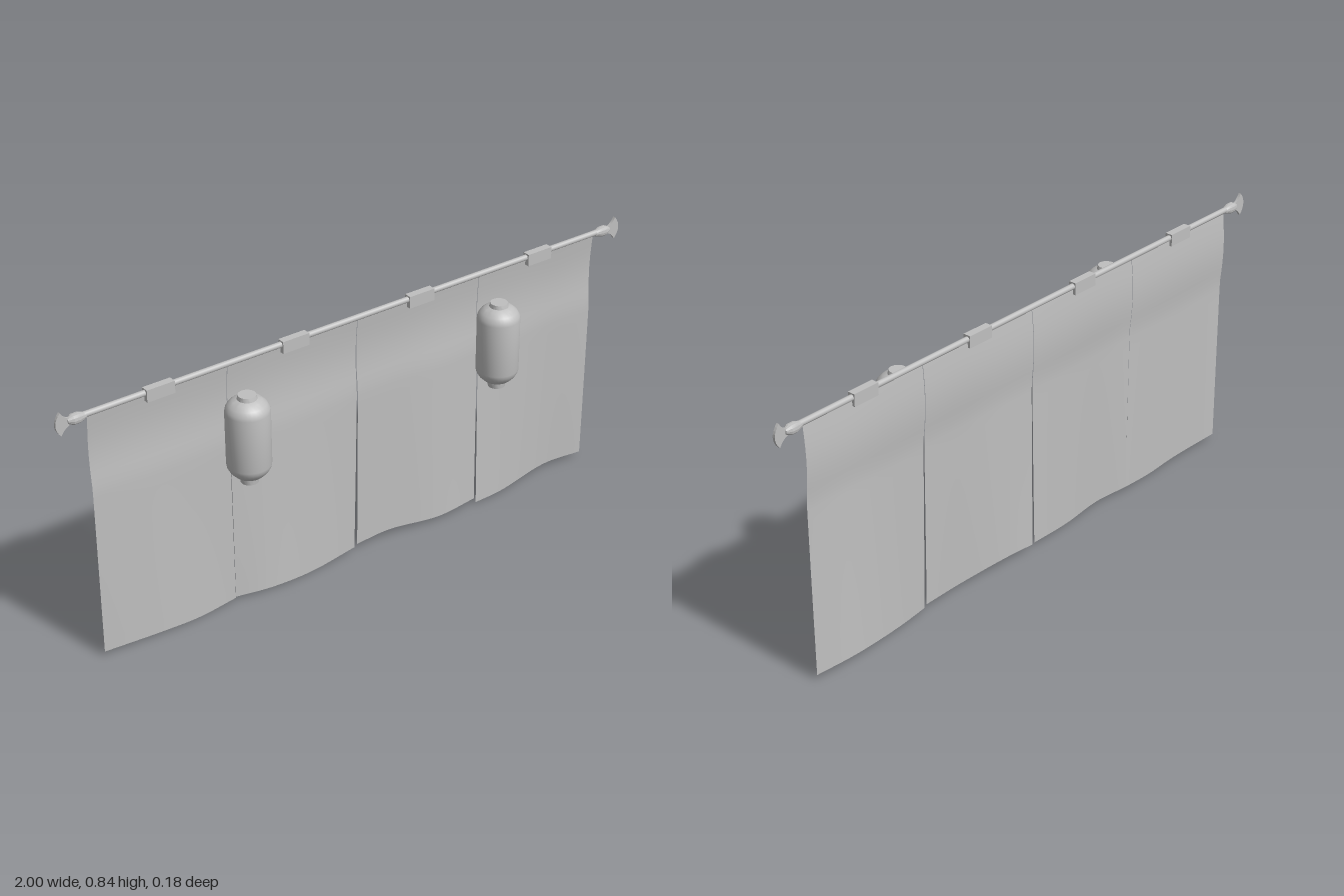
import * as THREE from 'three';
import { toCreasedNormals } from 'three/addons/utils/BufferGeometryUtils.js';

const ROD_Y = 0.808, ROD_Z = -0.069;

export function createModel() {
  const group = new THREE.Group();
  const grey = new THREE.MeshStandardMaterial({ color: 0xbfbfbf, side: THREE.DoubleSide });
  grey.name = 'plain grey';

  const add = (name, geometry, x = 0, y = 0, z = 0) => {
    const mesh = new THREE.Mesh(geometry, grey);
    mesh.name = name;
    mesh.position.set(x, y, z);
    group.add(mesh);
    return mesh;
  };
  const lathe = (points, segments) =>
    toCreasedNormals(new THREE.LatheGeometry(points.map(p => new THREE.Vector2(...p)), segments), 0.6);

  // Rod
  add('rod', new THREE.CylinderGeometry(0.009, 0.009, 1.84, 16).rotateZ(Math.PI / 2), 0, ROD_Y + 0.002, ROD_Z);

  // Finials: a turned knob and a flat fan at each end
  const fan = new THREE.Shape();
  fan.moveTo(0.952, -0.009);
  fan.quadraticCurveTo(0.972, -0.014, 0.984, -0.036);
  fan.quadraticCurveTo(1.016, 0, 0.984, 0.036);
  fan.quadraticCurveTo(0.972, 0.014, 0.952, 0.009);
  fan.closePath();
  for (const side of [1, -1]) {
    const knob = lathe([[0, 0.9], [0.009, 0.905], [0.016, 0.928], [0.016, 0.946], [0.008, 0.962], [0, 0.962]], 12);
    add('finialKnob', knob.rotateZ(-side * Math.PI / 2), 0, ROD_Y, ROD_Z);
    const plate = new THREE.ExtrudeGeometry(fan, { depth: 0.008, bevelEnabled: false, curveSegments: 8 });
    plate.translate(0, 0, -0.004);
    if (side < 0) plate.rotateY(Math.PI);
    add('finialFan', plate, 0, ROD_Y - 0.002, ROD_Z);
  }

  // Cloth loops around the rod
  for (const x of [-0.675, -0.225, 0.225, 0.675])
    add('rodLoop', new THREE.BoxGeometry(0.09, 0.038, 0.024), x, 0.804, -0.068);

  // Curtain panels: hem control points are x, y, z; the wave fades towards the rod
  const panels = [
    { from: -0.9, to: -0.451, hem: [[-0.9, 0.018, -0.07], [-0.7, 0.011, -0.061], [-0.58, 0.006, -0.063], [-0.451, 0.015, -0.069]] },
    { from: -0.449, to: -0.001, hem: [[-0.449, 0.017, -0.071], [-0.33, 0.012, -0.054], [-0.18, 0.004, -0.06], [-0.014, 0.016, -0.072]] },
    { from: 0.001, to: 0.449, hem: [[0.001, 0.019, -0.078], [0.12, 0.026, -0.075], [0.3, 0.014, -0.056], [0.447, 0.019, -0.063]] },
    { from: 0.451, to: 0.9, hem: [[0.451, 0.006, -0.058], [0.56, 0.003, -0.067], [0.76, 0.019, -0.089], [0.9, 0.018, -0.078]] },
  ];
  for (const { from, to, hem } of panels) {
    const curve = new THREE.CatmullRomCurve3(hem.map(p => new THREE.Vector3(...p)));
    const cloth = new THREE.PlaneGeometry(1, 1, 24, 24);
    const pos = cloth.attributes.position;
    for (let i = 0; i < pos.count; i++) {
      const u = pos.getX(i) + 0.5, drop = 0.5 - pos.getY(i);
      const end = curve.getPoint(u);
      const wave = Math.pow(drop, 1.4);
      // The cloth bows back slightly just under the rod
      const bow = drop < 0.3 ? -0.008 * Math.sin(Math.PI * drop / 0.3) : 0;
      pos.setXYZ(i,
        THREE.MathUtils.lerp(THREE.MathUtils.lerp(from, to, u), end.x, wave),
        THREE.MathUtils.lerp(0.803, end.y, drop),
        THREE.MathUtils.lerp(-0.07, end.z, wave) + bow);
    }
    cloth.computeVertexNormals();
    add('curtainPanel', cloth);
  }

  // Paper lanterns with a small collar at each end
  const profile = [
    [0, 0.473], [0.026, 0.473], [0.028, 0.491], [0.042, 0.498], [0.055, 0.511], [0.063, 0.525], [0.065, 0.535],
    [0.065, 0.703], [0.063, 0.714], [0.055, 0.727], [0.042, 0.738], [0.029, 0.743], [0.026, 0.755], [0, 0.755],
  ];
  for (const x of [-0.45, 0.45]) add('lantern', lathe(profile, 32), x, 0, 0.025);

  return group;
}
